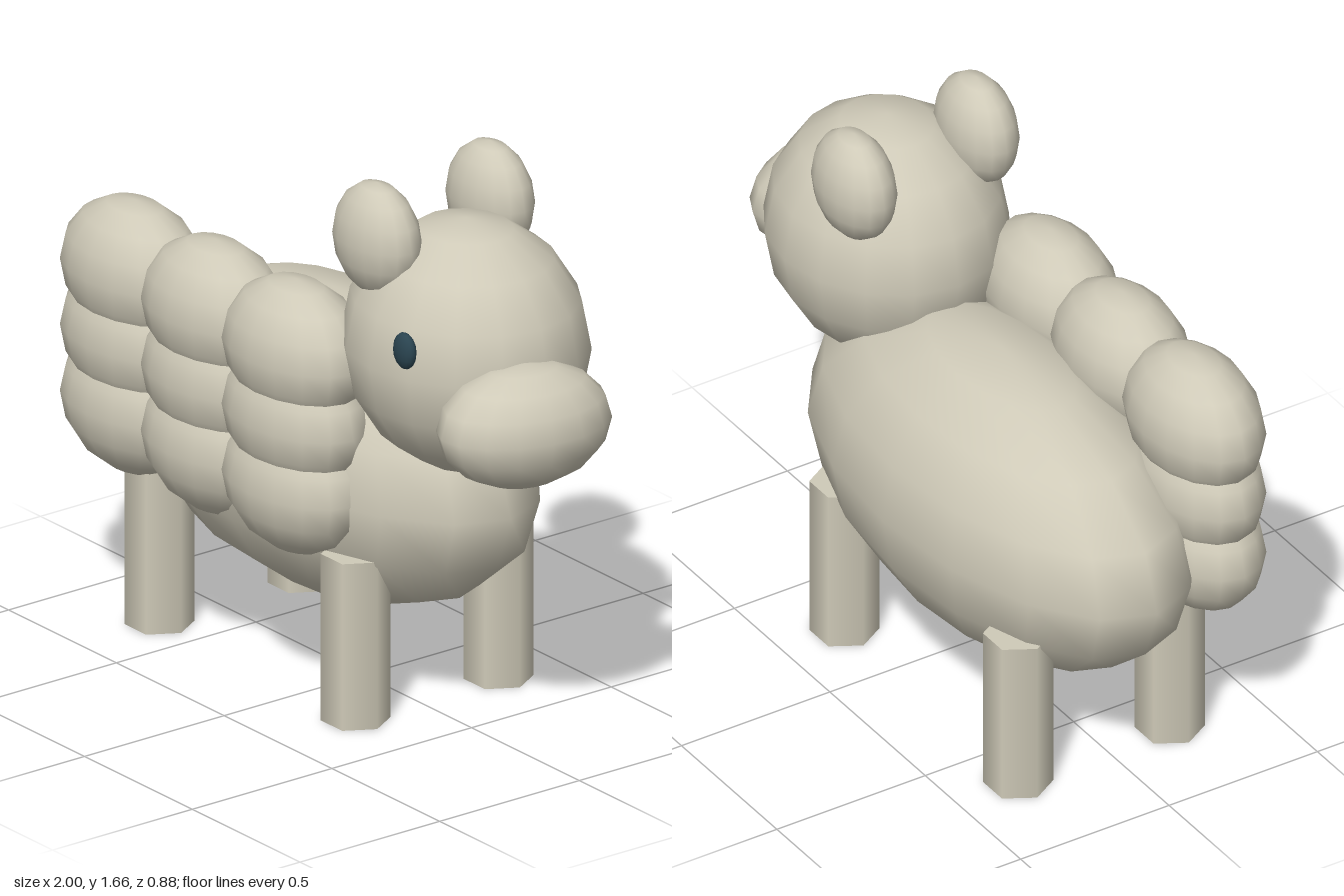
import * as THREE from 'three';

const wool = new THREE.MeshStandardMaterial({ color: 0xcfcab8 });
wool.name = 'cream wool';
const dark = new THREE.MeshStandardMaterial({ color: 0x2a4450 });
dark.name = 'dark eye';

// Smooth low-poly ellipsoid, the basic building block
const ball = new THREE.SphereGeometry(1, 16, 8);
function ellipsoid(name, position, radii, material = wool) {
  const mesh = new THREE.Mesh(ball, material);
  mesh.name = name;
  mesh.position.set(...position);
  mesh.scale.set(...radii);
  return mesh;
}

export function createModel() {
  const model = new THREE.Group();
  model.name = 'sheep';

  // Body and head
  model.add(ellipsoid('body', [-0.185, 0.67, -0.04], [0.815, 0.45, 0.4]));
  model.add(ellipsoid('head', [0.455, 1.168, -0.015], [0.378, 0.377, 0.345]));

  // Wide muzzle, turned slightly
  const muzzle = ellipsoid('muzzle', [0.815, 1.047, 0.055], [0.182, 0.183, 0.266]);
  muzzle.rotation.y = -0.17;
  model.add(muzzle);

  // Ears, one a little further forward than the other
  model.add(ellipsoid('frontEar', [0.325, 1.495, 0.203], [0.16, 0.17, 0.104]));
  model.add(ellipsoid('backEar', [0.272, 1.495, -0.243], [0.16, 0.17, 0.104]));

  // Single eye on the front side
  model.add(ellipsoid('eye', [0.583, 1.257, 0.303], [0.045, 0.055, 0.025], dark));

  // Fleece: three by three overlapping tufts on the front side
  const fleece = new THREE.Group();
  fleece.name = 'fleece';
  for (const x of [-0.72, -0.345, 0.03]) {
    for (const y of [0.675, 0.878, 1.08]) {
      fleece.add(ellipsoid('tuft', [x, y, 0.265], [0.266, 0.21, 0.173]));
    }
  }
  model.add(fleece);

  // Four hexagonal legs
  const legShape = new THREE.CylinderGeometry(0.1, 0.1, 0.51, 6).rotateY(Math.PI / 6);
  for (const x of [-0.665, 0.245]) {
    for (const z of [0.218, -0.293]) {
      const leg = new THREE.Mesh(legShape, wool);
      leg.name = 'leg';
      leg.position.set(x, 0.255, z);
      model.add(leg);
    }
  }
  return model;
}
